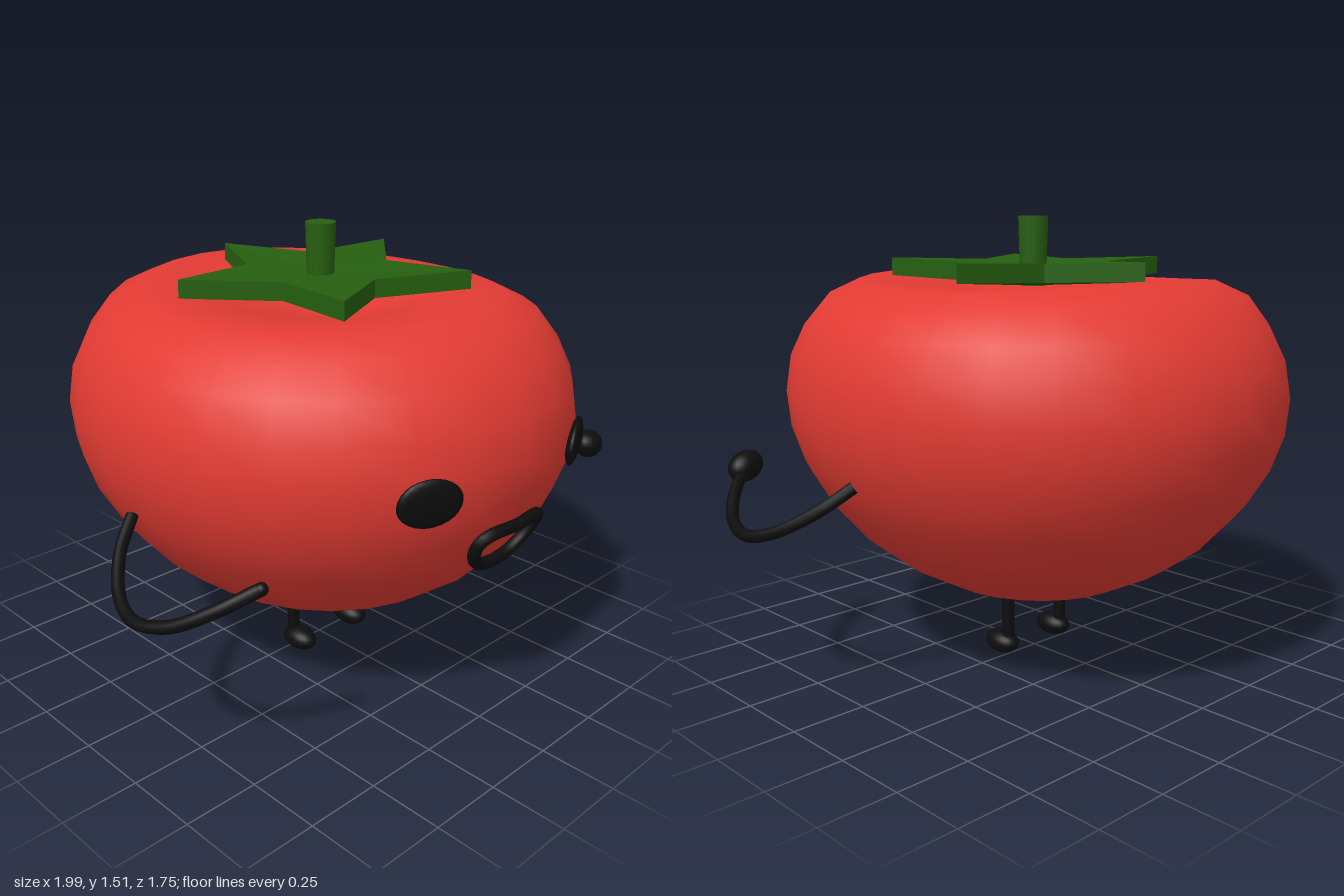
import * as THREE from 'three';

const flat = (name, color) => new THREE.MeshStandardMaterial({ name, color });

export function createModel() {
  const red = flat('tomato red', 0xe33b33);
  const green = flat('leaf green', 0x265f10);
  const black = flat('black', 0x0d0d0e);
  const model = new THREE.Group();

  const add = (name, geometry, material, x = 0, y = 0, z = 0) => {
    const mesh = new THREE.Mesh(geometry, material);
    mesh.name = name;
    mesh.position.set(x, y, z);
    model.add(mesh);
    return mesh;
  };
  const ellipsoid = (name, rx, ry, rz, x, y, z) =>
    add(name, new THREE.SphereGeometry(1, 20, 14).scale(rx, ry, rz), black, x, y, z);

  // Body: oval lathe with a dimple at both ends
  const profile = [
    [0, 0.29], [0.08, 0.265], [0.17, 0.25], [0.34, 0.28], [0.5, 0.36], [0.63, 0.455],
    [0.745, 0.58], [0.82, 0.7], [0.863, 0.82], [0.875, 0.94], [0.855, 1.06], [0.805, 1.16],
    [0.73, 1.25], [0.62, 1.3], [0.5, 1.303], [0.36, 1.28], [0.2, 1.235], [0, 1.2],
  ].map(([r, y]) => new THREE.Vector2(r, y));
  const body = new THREE.LatheGeometry(profile, 26).scale(0.927, 1, 1);
  // The rim rises a little at front and back, and sinks at the sides
  const bp = body.attributes.position;
  for (let i = 0; i < bp.count; i++) {
    if (bp.getY(i) > 1.2) {
      bp.setY(i, bp.getY(i) + 0.04 * (bp.getZ(i) ** 2 - bp.getX(i) ** 2));
    }
  }
  add('body', body, red);

  // Leaf: ten-sided plate pulled into a star, sunk in the middle
  const leaf = new THREE.CylinderGeometry(1, 1, 0.06, 10);
  const lp = leaf.attributes.position;
  for (let i = 0; i < lp.count; i++) {
    const x = lp.getX(i), z = lp.getZ(i);
    if (Math.hypot(x, z) < 0.1) {
      lp.setY(i, lp.getY(i) - 0.03);
      continue;
    }
    const step = Math.round(Math.atan2(x, -z) / (Math.PI / 5));
    const tip = step % 2 === 0;
    const r = tip ? 0.49 : 0.245;
    lp.setXYZ(i, x * r, lp.getY(i) - (tip ? 0 : 0.008), z * r);
  }
  const starLeaf = leaf.toNonIndexed();
  starLeaf.computeVertexNormals();
  add('starLeaf', starLeaf, green, 0.006, 1.34, 0);
  add('stem', new THREE.CylinderGeometry(0.05, 0.043, 0.23, 16), green, 0.006, 1.395, 0);

  // Paired parts: eyes, arms, legs and feet
  for (const side of [1, -1]) {
    const label = side > 0 ? 'left' : 'right';

    const eye = ellipsoid(label + 'Eye', 0.1, 0.077, 0.022, side * 0.345, 0.885, 0.795);
    eye.rotation.set(0.1, side * 0.47, 0, 'YXZ');

    const armPath = new THREE.CatmullRomCurve3([
      [0.77, 0.715, -0.02], [0.86, 0.645, 0.04], [0.945, 0.575, 0.15], [0.977, 0.55, 0.26],
      [0.95, 0.572, 0.385], [0.88, 0.63, 0.49], [0.775, 0.7, 0.58],
    ].map(([x, y, z]) => new THREE.Vector3(side * x, y, z)));
    add(label + 'Arm', new THREE.TubeGeometry(armPath, 32, 0.02, 10), black);
    ellipsoid(label + 'ArmEnd', 0.02, 0.02, 0.02, side * 0.775, 0.7, 0.58);

    add(label + 'Leg', new THREE.CylinderGeometry(0.022, 0.022, 0.27, 12), black, side * 0.127, 0.175, 0);
    ellipsoid(label + 'Foot', 0.047, 0.04, 0.07, side * 0.127, 0.043, 0.032);
  }

  // Only the left arm has a round hand
  const hand = ellipsoid('leftHand', 0.068, 0.05, 0.05, 0.792, 0.69, 0.57);
  hand.rotation.set(0, 0.35, -0.3);

  // Mouth: closed tube lying on the curved face
  const mouthPath = new THREE.CatmullRomCurve3([
    [-0.11, 0.722], [0, 0.722], [0.11, 0.722], [0.14, 0.7], [0.122, 0.635],
    [0.07, 0.592], [0, 0.58], [-0.07, 0.592], [-0.122, 0.635], [-0.14, 0.7],
  ].map(([x, y]) => new THREE.Vector3(x, y, 0.765 + (y - 0.58) * 0.52 - 0.6 * x * x)), true);
  add('mouth', new THREE.TubeGeometry(mouthPath, 64, 0.02, 10, true), black);

  return model;
}
